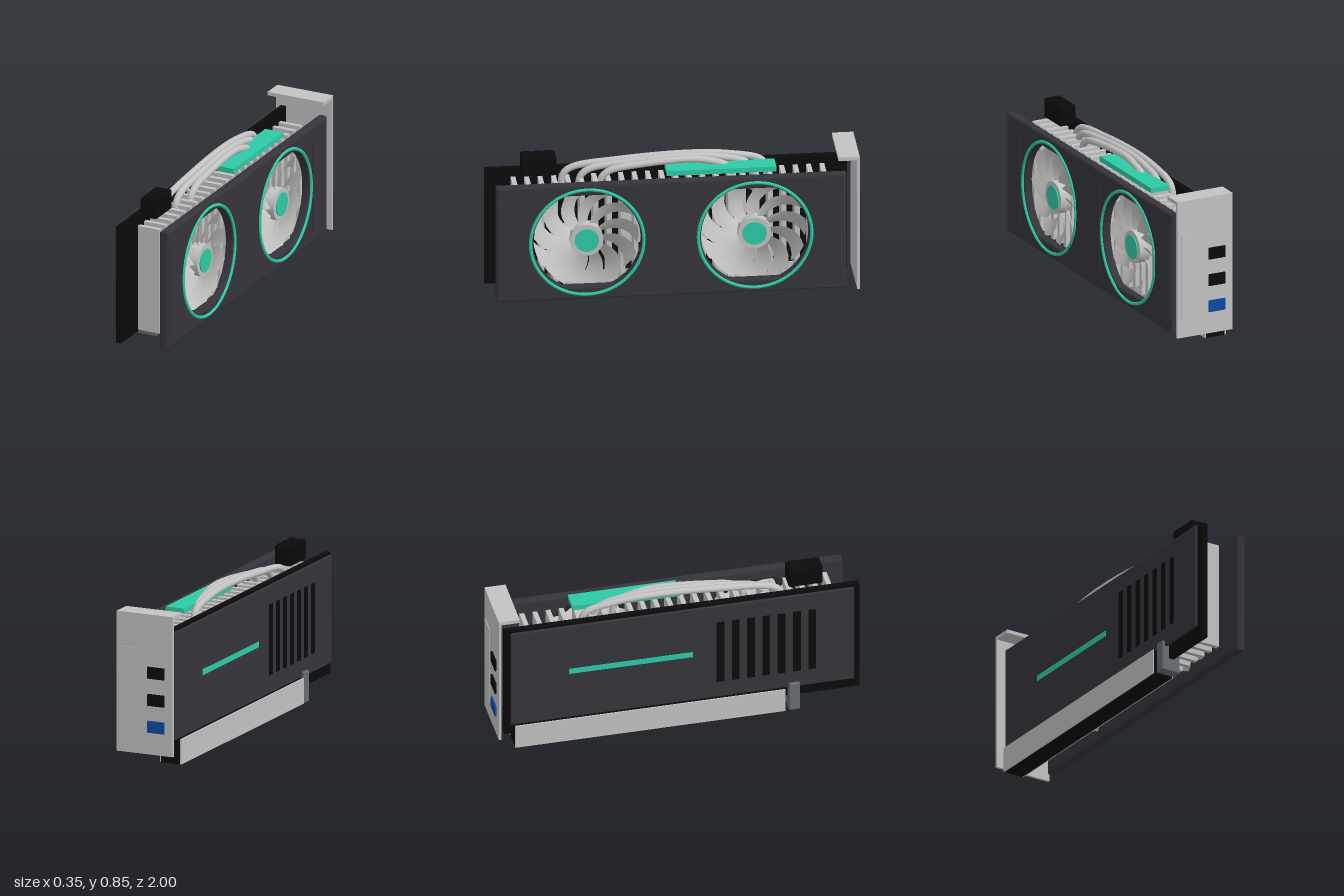
import * as THREE from 'three';
import { RoundedBoxGeometry } from 'three/addons/geometries/RoundedBoxGeometry.js';

const paint = (name, color, side = THREE.FrontSide) => {
  const m = new THREE.MeshStandardMaterial({ color, side });
  m.name = name;
  return m;
};

export function createModel() {
  const model = new THREE.Group();
  model.name = 'graphicsCard';
  const dark = paint('charcoal', 0x36343b);
  const black = paint('black', 0x0b0b0c);
  const silver = paint('silver', 0xc2c2c2);
  const bladeGrey = paint('bladeGrey', 0xc4c3c1, THREE.DoubleSide);
  const teal = paint('teal', 0x2dcaa6);
  const steel = paint('slateGrey', 0x666d71);
  const blue = paint('blue', 0x0a4aa4);

  const add = (name, geometry, material, parent = model) => {
    const mesh = new THREE.Mesh(geometry, material);
    mesh.name = name;
    parent.add(mesh);
    return mesh;
  };
  // Box given by its limits on each axis, optionally with rounded edges
  const box = (name, mat, [x0, x1], [y0, y1], [z0, z1], round = 0) => {
    const size = [x1 - x0, y1 - y0, z1 - z0];
    const geo = round ? new RoundedBoxGeometry(...size, 2, round) : new THREE.BoxGeometry(...size);
    const mesh = add(name, geo, mat);
    mesh.position.set((x0 + x1) / 2, (y0 + y1) / 2, (z0 + z1) / 2);
    return mesh;
  };

  const fanY = 0.41, fanZ = [0.475, -0.427];

  // Shroud: bevelled plate with two openings, flat at top and bottom
  const bevel = 0.012;
  const outline = new THREE.Shape();
  const s0 = -0.965 + bevel, s1 = 0.92 - bevel, y0 = 0.075 + bevel, y1 = 0.745 - bevel;
  outline.moveTo(s0, y0).lineTo(s1, y0).lineTo(s1, y1).lineTo(s0, y1).closePath();
  for (const z of fanZ) {
    const pts = [];
    for (let i = 0; i < 64; i++) {
      const a = -i / 64 * Math.PI * 2;
      const y = fanY + 0.302 * Math.sin(a);
      pts.push(new THREE.Vector2(-z + 0.302 * Math.cos(a), THREE.MathUtils.clamp(y, 0.14, 0.69)));
    }
    outline.holes.push(new THREE.Path(pts));
  }
  const shroudGeo = new THREE.ExtrudeGeometry(outline, {
    depth: 0.052 - 2 * bevel, bevelEnabled: true, bevelSize: bevel, bevelThickness: bevel, bevelSegments: 2,
  });
  shroudGeo.translate(0, 0, 0.115 + bevel).rotateY(Math.PI / 2);
  add('shroud', shroudGeo, dark);

  // Raised panels beside the fans
  for (const z of [[0.8, 0.95], [-0.105, 0.165], [-0.905, -0.74]])
    box('shroudPanel', dark, [0.164, 0.169], [0.148, 0.678], z);

  // Curved blade: u runs along the radius, v across the chord
  const bladeGeo = new THREE.PlaneGeometry(1, 1, 8, 5);
  const p = bladeGeo.attributes.position;
  for (let i = 0; i < p.count; i++) {
    const u = p.getX(i) + 0.5, v = p.getY(i);
    const r = 0.075 + 0.207 * u;
    const a = v * (0.5 - 0.06 * u) - 0.55 * u * u;
    p.setXYZ(i, r * Math.cos(a), r * Math.sin(a), 0.102 + v * (0.038 + 0.012 * u) + 0.008 * (0.25 - v * v));
  }
  bladeGeo.computeVertexNormals();

  // Fans, built facing +z and turned to face +x
  for (const z of fanZ) {
    const fan = new THREE.Group();
    fan.name = 'fan';
    fan.position.set(0, fanY, z);
    fan.rotation.y = Math.PI / 2;
    model.add(fan);
    for (let i = 0; i < 11; i++)
      add('fanBlade', bladeGeo, bladeGrey, fan).rotation.z = i / 11 * Math.PI * 2;
    const disc = (name, r, from, to, mat) =>
      add(name, new THREE.CylinderGeometry(r, r, to - from, 40).rotateX(Math.PI / 2)
        .translate(0, 0, (from + to) / 2), mat, fan);
    disc('fanHub', 0.09, 0.08, 0.143, silver);
    disc('fanCap', 0.065, 0.143, 0.149, teal);
    add('fanRing', new THREE.TorusGeometry(0.305, 0.009, 10, 72).translate(0, 0, 0.167), teal, fan);
  }

  // Heatsink fins and cold plate
  for (let i = 0; i < 24; i++) {
    const z = -0.81 + i * 0.0722;
    box('heatsinkFin', silver, [-0.063, 0.066], [0.113, 0.71], [z - 0.013, z + 0.013]);
  }
  box('coldPlate', silver, [-0.075, -0.06], [0.295, 0.655], [-0.2, 0.25]);

  // Heat pipes arching over the fins
  for (const [x, zFront, zBack, top] of [
    [-0.057, 0.59, -0.51, 0.806], [-0.022, 0.5, -0.43, 0.804], [0.01, 0.39, -0.32, 0.8]]) {
    const path = new THREE.CatmullRomCurve3([
      [0.6, zFront], [0.71, zFront - 0.005], [0.752, zFront - 0.05],
      [top - 0.018, zFront * 0.45], [top, -0.1], [top - 0.012, zBack * 0.6],
      [0.755, zBack + 0.03], [0.71, zBack], [0.6, zBack],
    ].map(([y, z]) => new THREE.Vector3(x, y, z)));
    add('heatPipe', new THREE.TubeGeometry(path, 64, 0.019, 12), silver);
  }

  // Accent bar on the top edge
  box('topAccentBar', teal, [-0.016, 0.093], [0.743, 0.771], [-0.55, 0.04]);

  // Circuit board and backplate
  box('circuitBoard', black, [-0.126, -0.095], [0.075, 0.745], [-0.95, 1]);
  box('backplate', dark, [-0.151, -0.133], [0.143, 0.737], [-0.92, 0.965], 0.005);
  for (let i = 0; i < 7; i++) {
    const z = 0.23 + i * 0.084;
    box('backplateSlot', black, [-0.154, -0.15], [0.245, 0.635], [z - 0.021, z + 0.021]);
  }
  box('backplateStripe', teal, [-0.154, -0.15], [0.43, 0.462], [-0.6, 0.08]);

  // Power socket with two rows of pin openings
  box('powerSocket', black, [-0.075, 0.022], [0.742, 0.85], [0.625, 0.812], 0.008);
  for (const x of [-0.049, -0.004])
    for (let i = 0; i < 3; i++) {
      const z = 0.66 + i * 0.058;
      box('powerPin', black, [x - 0.016, x + 0.016], [0.848, 0.855], [z - 0.02, z + 0.02]);
    }

  // Edge connector: dark core with a contact strip on either side
  box('connectorCore', black, [-0.167, -0.054], [0.008, 0.148], [-0.9, 0.583]);
  for (const x of [-0.174, -0.054])
    box('contactStrip', silver, [x, x + 0.007], [0.008, 0.148], [-0.9, 0.583]);
  box('connectorLatch', steel, [-0.167, -0.054], [0.002, 0.174], [0.605, 0.665], 0.007);

  // Mounting bracket with flange, vent panel and ports
  box('bracketPlate', silver, [-0.167, 0.167], [0.068, 0.84], [-0.99, -0.976]);
  box('bracketFlange', silver, [-0.167, 0.167], [0.82, 0.84], [-0.976, -0.875]);
  box('bracketVent', silver, [0.045, 0.145], [0.17, 0.65], [-0.994, -0.989]);
  [[0.52, black], [0.37, black], [0.222, blue]].forEach(([y, mat]) =>
    box('displayPort', mat, [-0.118, -0.02], [y - 0.032, y + 0.032], [-1, -0.988]));

  return model;
}
